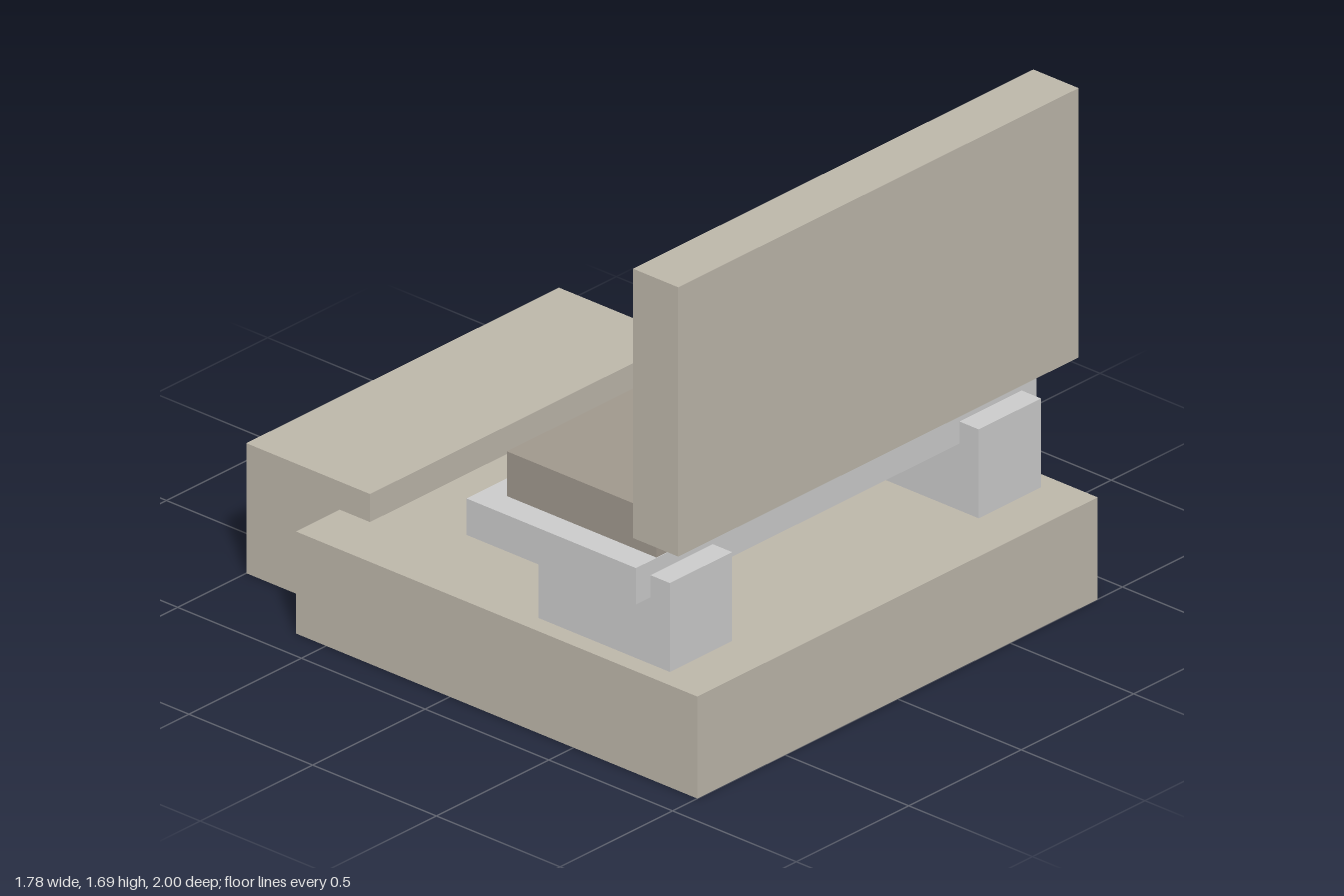
import * as THREE from 'three';

const stone = new THREE.MeshStandardMaterial({ color: 0xbdb7aa });
const pale = new THREE.MeshStandardMaterial({ color: 0xcccccc });
const padding = new THREE.MeshStandardMaterial({ color: 0xa0988d });

export function createModel() {
  const model = new THREE.Group();
  model.name = 'bench';

  // Adds a block from its [min, max] extents on each axis
  function block(name, material, [x0, x1], [y0, y1], [z0, z1]) {
    const mesh = new THREE.Mesh(new THREE.BoxGeometry(x1 - x0, y1 - y0, z1 - z0), material);
    mesh.position.set((x0 + x1) / 2, (y0 + y1) / 2, (z0 + z1) / 2);
    mesh.name = name;
    model.add(mesh);
  }

  // Plinth and the taller step overlapping its rear edge
  block('base', stone, [-0.89, 0.89], [0, 0.342], [-0.622, 1]);
  block('step', stone, [-0.695, 0.695], [0, 0.436], [-1, -0.5]);

  // Two supports that rise behind the seat board
  block('leftSupport', pale, [0.548, 0.825], [0.342, 0.64], [0.3, 0.83]);
  block('rightSupport', pale, [-0.825, -0.548], [0.342, 0.64], [0.3, 0.83]);

  // Seat
  block('seatBoard', pale, [-0.89, 0.89], [0.566, 0.688], [0.067, 0.752]);
  block('seatCushion', padding, [-0.797, 0.797], [0.688, 0.838], [0.146, 0.75]);

  // Backrest with its pad and a thin bar along the pad's top edge
  block('backrest', stone, [-0.89, 0.89], [0.785, 1.688], [0.74, 0.923]);
  block('backCushion', padding, [-0.787, 0.787], [0.909, 1.596], [0.676, 0.74]);
  block('trimBar', padding, [-0.718, 0.718], [1.583, 1.599], [0.653, 0.669]);

  return model;
}
